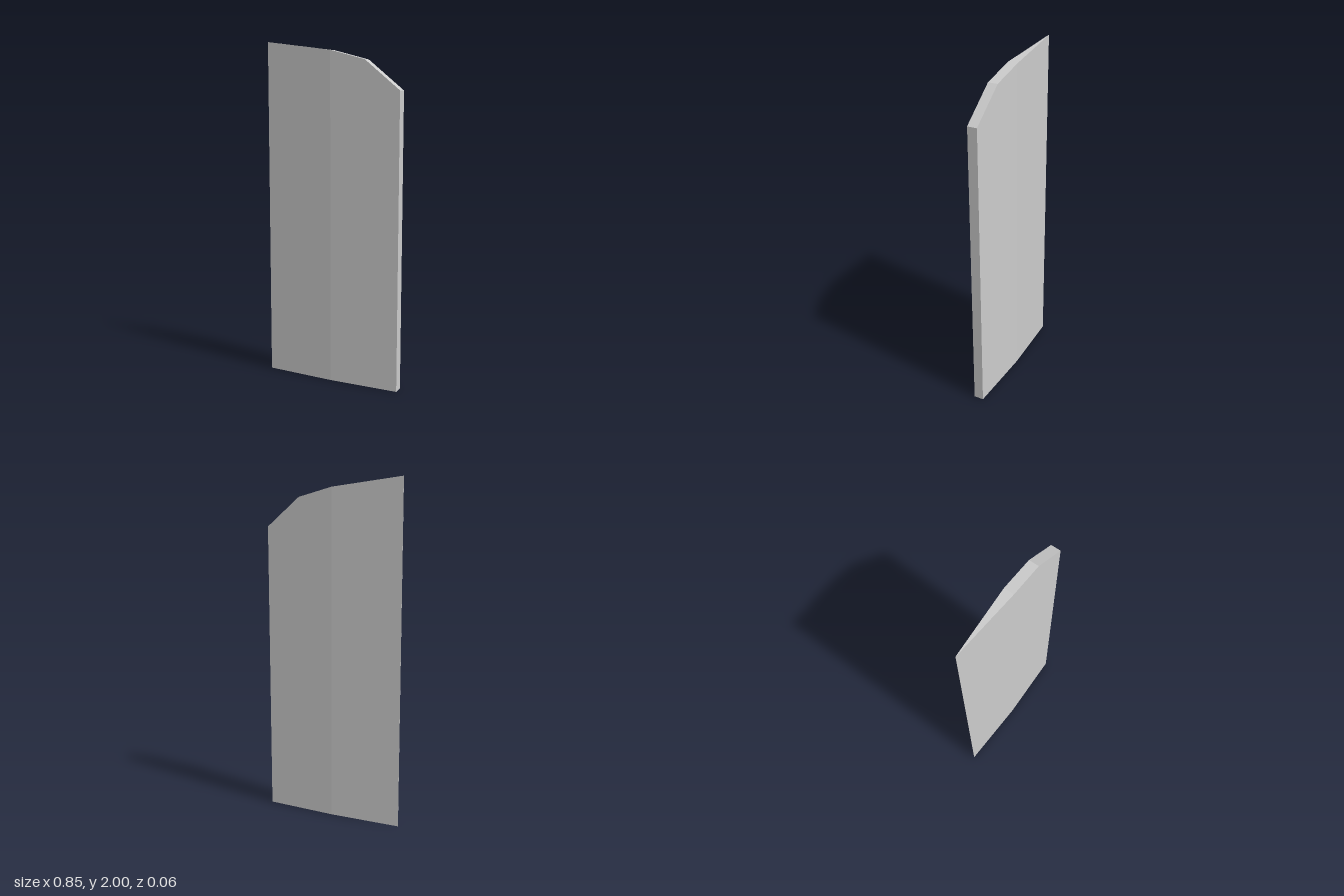
import * as THREE from 'three';

// Blade cross-sections from cutting edge to spine: x, top height, half thickness
const sections = [
  { x: -0.425, top: 2.0, half: 0.0005 },
  { x: 0.0, top: 1.944, half: 0.029 },
  { x: 0.213, top: 1.888, half: 0.029 },
  { x: 0.425, top: 1.717, half: 0.029 },
];

export function createModel() {
  const group = new THREE.Group();
  group.name = 'bladeSegment';

  // A box with one column per section, reshaped to the slanted top and tapered edge
  const spans = sections.length - 1;
  const box = new THREE.BoxGeometry(spans, 1, 1, spans, 1, 1);
  const pos = box.attributes.position;
  for (let i = 0; i < pos.count; i++) {
    const s = sections[Math.round(pos.getX(i) + spans / 2)];
    pos.setXYZ(i, s.x, pos.getY(i) > 0 ? s.top : 0, Math.sign(pos.getZ(i)) * s.half);
  }
  const geometry = box.toNonIndexed();
  geometry.computeVertexNormals();

  const blade = new THREE.Mesh(
    geometry,
    new THREE.MeshStandardMaterial({ color: 0xcccccc, flatShading: true })
  );
  blade.name = 'blade';
  group.add(blade);
  return group;
}
